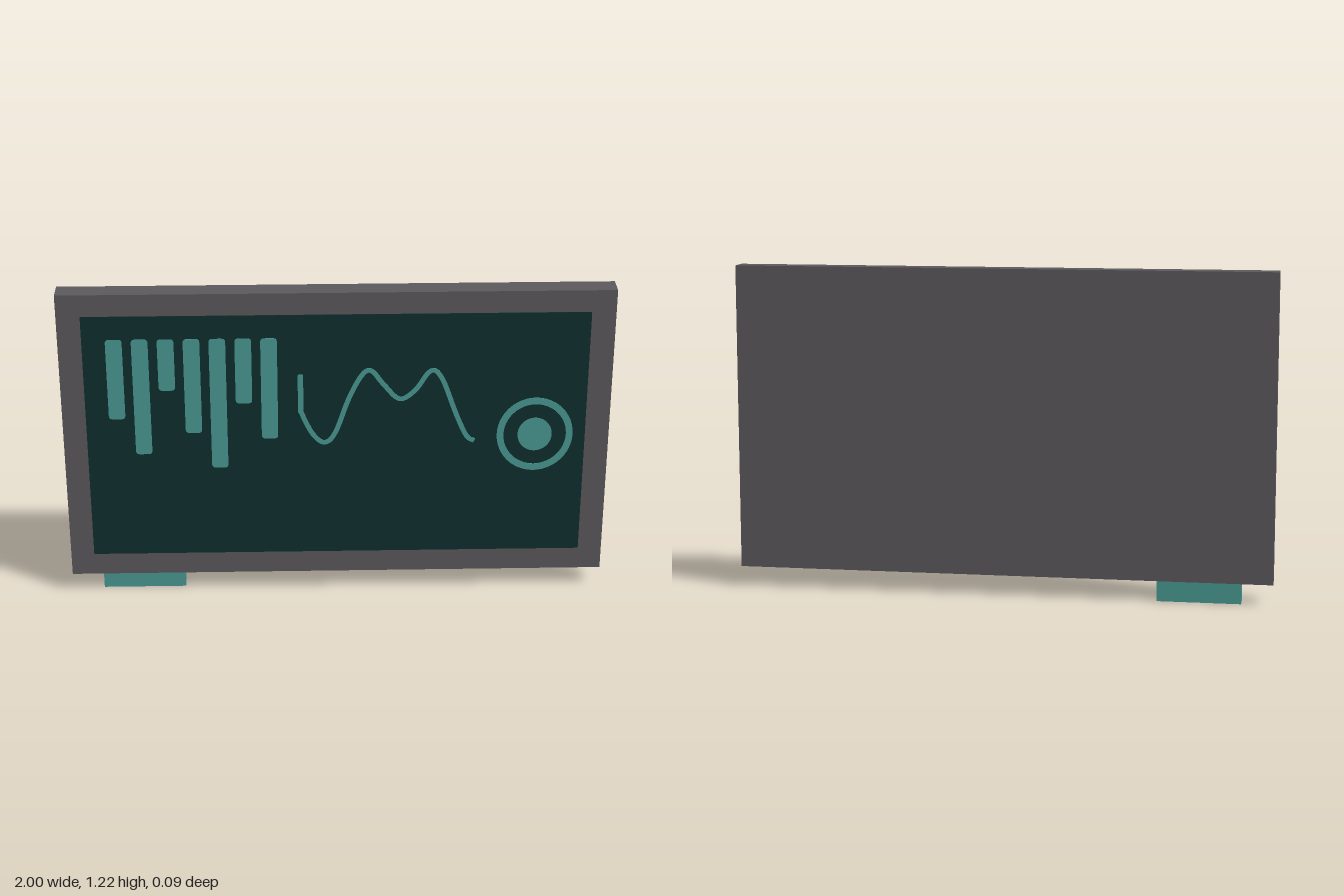
import * as THREE from 'three';

const bodyGrey = new THREE.MeshStandardMaterial({ name: 'bodyGrey', color: 0x5b595b });
const screenDark = new THREE.MeshStandardMaterial({ name: 'screenDark', color: 0x0f2f2e });
const teal = new THREE.MeshStandardMaterial({ name: 'teal', color: 0x4a9b94 });

const FRONT = 0.04; // front face of the casing
const PLATE = 0.002; // thickness of painted details

function addMesh(parent, name, geometry, material) {
  const mesh = new THREE.Mesh(geometry, material);
  mesh.name = name;
  parent.add(mesh);
  return mesh;
}

// Box given by its minimum and maximum corners
function addBox(parent, name, material, [x0, y0, z0], [x1, y1, z1]) {
  const box = addMesh(parent, name, new THREE.BoxGeometry(x1 - x0, y1 - y0, z1 - z0), material);
  box.position.set((x0 + x1) / 2, (y0 + y1) / 2, (z0 + z1) / 2);
}

// Thin plate lying on the screen
function addPlate(parent, name, shape) {
  const geometry = new THREE.ExtrudeGeometry(shape, { depth: PLATE, bevelEnabled: false, curveSegments: 24 });
  const plate = addMesh(parent, name, geometry, teal);
  plate.position.z = FRONT + PLATE;
  return plate;
}

function roundedRect(x0, y0, x1, y1, r) {
  const s = new THREE.Shape();
  s.moveTo(x0 + r, y0);
  s.lineTo(x1 - r, y0).quadraticCurveTo(x1, y0, x1, y0 + r);
  s.lineTo(x1, y1 - r).quadraticCurveTo(x1, y1, x1 - r, y1);
  s.lineTo(x0 + r, y1).quadraticCurveTo(x0, y1, x0, y1 - r);
  s.lineTo(x0, y0 + r).quadraticCurveTo(x0, y0, x0 + r, y0);
  return s;
}

// Flat band of constant width along a list of points
function bandShape(points, width) {
  const left = [], right = [];
  points.forEach((p, i) => {
    const a = points[Math.max(i - 1, 0)], b = points[Math.min(i + 1, points.length - 1)];
    const t = b.clone().sub(a).normalize().multiplyScalar(width / 2);
    left.push(new THREE.Vector2(p.x - t.y, p.y + t.x));
    right.unshift(new THREE.Vector2(p.x + t.y, p.y - t.x));
  });
  return new THREE.Shape([...left, ...right]);
}

export function createModel() {
  const model = new THREE.Group();
  model.name = 'displayPanel';

  // Casing, screen and foot
  addBox(model, 'casing', bodyGrey, [-1, 0.075, -0.042], [1, 1.215, FRONT]);
  addBox(model, 'screen', screenDark, [-0.914, 0.162, FRONT - 0.002], [0.912, 1.132, FRONT + PLATE]);
  addBox(model, 'foot', teal, [-0.885, 0, -0.042], [-0.575, 0.075, 0.013]);

  // Hanging bar chart
  const chart = new THREE.Group();
  chart.name = 'barChart';
  model.add(chart);
  [0.727, 0.583, 0.84, 0.668, 0.524, 0.786, 0.642].forEach((bottom, i) => {
    const x = -0.8 + i * 0.0925;
    addPlate(chart, `bar${i + 1}`, roundedRect(x - 0.03, bottom, x + 0.03, 1.043, 0.015));
  });

  // Wavy graph line with a straight start
  const wave = [
    [-0.132, 0.75], [-0.09, 0.66], [-0.045, 0.623], [-0.005, 0.665], [0.043, 0.8], [0.09, 0.893],
    [0.125, 0.91], [0.17, 0.855], [0.228, 0.797], [0.285, 0.832], [0.338, 0.907], [0.38, 0.88],
    [0.435, 0.735], [0.475, 0.645], [0.505, 0.624],
  ].map(([x, y]) => new THREE.Vector2(x, y));
  const graph = new THREE.SplineCurve(wave).getPoints(70);
  addPlate(model, 'graphLine', bandShape(graph, 0.018));
  addPlate(model, 'graphStart', roundedRect(-0.142, 0.745, -0.122, 0.898, 0.006));

  // Round gauge: ring and centre dot
  const gauge = new THREE.Group();
  gauge.name = 'gauge';
  gauge.position.set(0.727, 0.647, 0);
  gauge.scale.y = 1.06;
  model.add(gauge);
  const ring = new THREE.Shape().absarc(0, 0, 0.14, 0, Math.PI * 2);
  ring.holes.push(new THREE.Path().absarc(0, 0, 0.115, 0, Math.PI * 2, true));
  addPlate(gauge, 'gaugeRing', ring);
  addPlate(gauge, 'gaugeDot', new THREE.Shape().absarc(0, 0, 0.063, 0, Math.PI * 2));

  return model;
}
